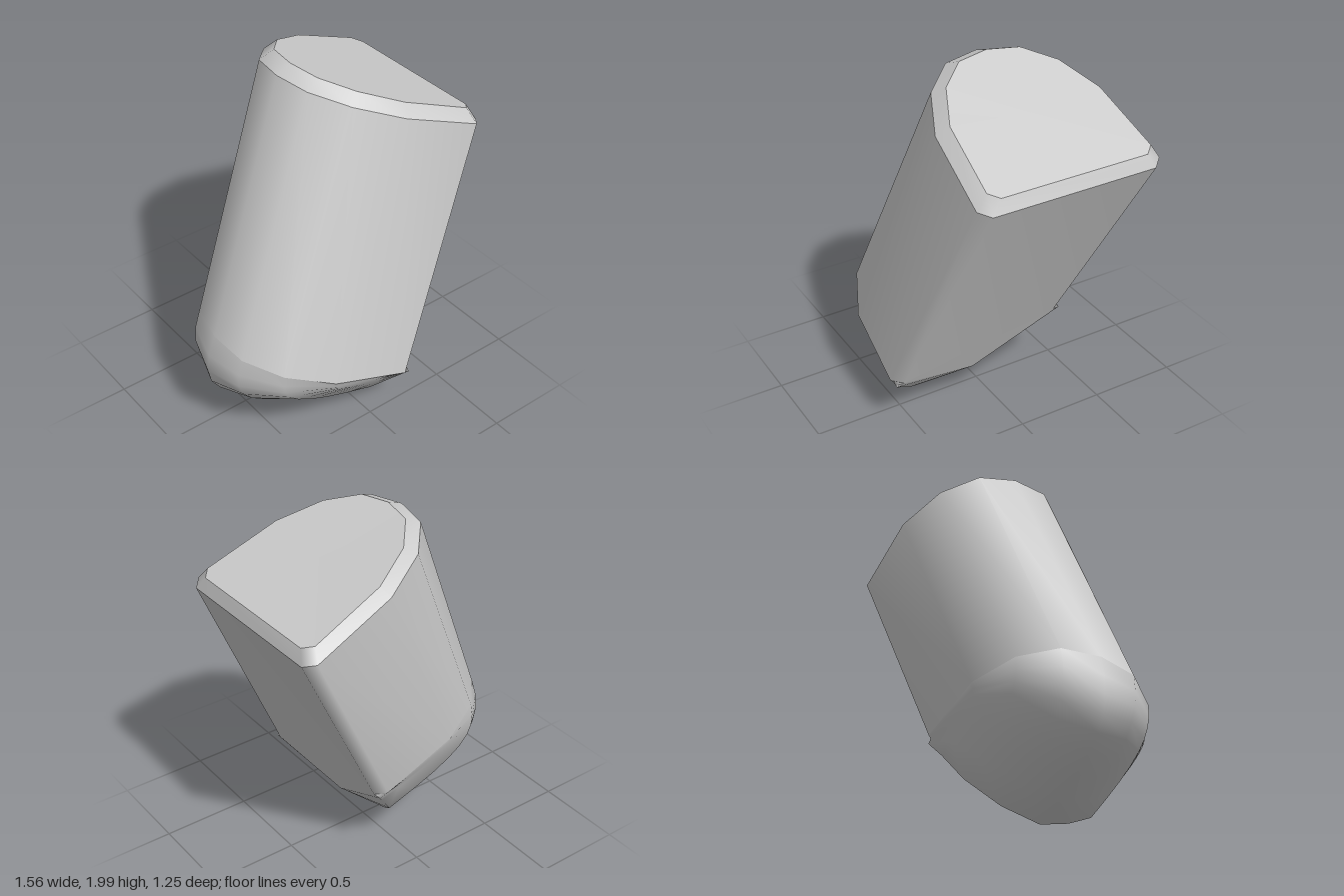
import * as THREE from 'three';

// D-shaped outline from front to back: [body sideways, body depth, tip sideways, tip depth]
const OUTLINE = [
  [0.89, 0, 0.89, 0], [1, 0.055, 0.97, 0.03], [0.925, 0.54, 0.86, 0.21], [0.7, 0.81, 0.7, 0.48],
  [0.38, 0.97, 0.36, 0.77], [0, 1.01, 0, 0.98], [-0.38, 0.97, -0.38, 0.86], [-0.7, 0.81, -0.7, 0.55],
  [-0.925, 0.54, -0.86, 0.19], [-1, 0.055, -0.97, 0.03], [-0.89, 0, -0.89, 0],
];
const V = (x, y, z) => new THREE.Vector3(x, y, z);

// Places the outline in space; column 0 starts the body pair, 2 the tip pair
const section = (centre, side, depth, column = 0) => OUTLINE.map((p) =>
  centre.clone().addScaledVector(side, p[column]).addScaledVector(depth, p[column + 1]));

// Skin over closed rings listed from bottom to top
function loft(name, rings) {
  const n = rings[0].length;
  const index = [];
  for (let r = 0; r < rings.length - 1; r++) {
    for (let j = 0; j < n; j++) {
      const k = (j + 1) % n;
      const a = r * n + j, b = r * n + k, c = a + n, d = b + n;
      index.push(a, c, d, a, d, b);
    }
  }
  const geometry = new THREE.BufferGeometry().setFromPoints(rings.flat());
  geometry.setIndex(index);
  geometry.computeVertexNormals();
  const mesh = new THREE.Mesh(geometry, new THREE.MeshStandardMaterial({ color: 0xcccccc }));
  mesh.name = name;
  return mesh;
}

// Ring shrunk to one point, used to close an end
const pole = (point) => OUTLINE.map(() => point);

export function createModel() {
  const group = new THREE.Group();
  group.name = 'slantedBody';

  const baseCentre = V(0.2, 0.39, 0.09), baseSide = V(-0.01, -0.09, 0.53), baseDepth = V(-0.93, 0.29, 0);
  const base = section(baseCentre, baseSide, baseDepth);
  const tip = section(baseCentre, baseSide, V(-0.315, -0.39, -0.02), 2);
  const rim = section(V(0.775, 1.58, -0.1), V(0, 0, 0.53), V(-0.935, 0.38, 0));
  const cap = section(V(0.75, 1.655, -0.11), V(0, 0, 0.475), V(-0.82, 0.34, 0));

  // Straight sheared body, bevelled top edge and lid
  group.add(loft('bodyWall', [base, rim]));
  group.add(loft('topBevel', [rim, cap]));
  group.add(loft('topFace', [cap, pole(V(0.35, 1.82, -0.11))]));

  // Underside: a slightly domed slanted face, then a rounded curve up to the wall
  const curves = tip.map((t, j) => {
    const corner = t.clone().addScaledVector(baseDepth, OUTLINE[j][1] * 0.85);
    return new THREE.CubicBezierCurve3(t, t.clone().lerp(corner, 0.8), base[j].clone().lerp(corner, 0.8), base[j]);
  });
  const rings = [pole(V(0.1, 0.18, 0.08))];
  for (let i = 0; i <= 8; i++) rings.push(curves.map((curve) => curve.getPoint(i / 8)));
  group.add(loft('roundedUnderside', rings));
  return group;
}
